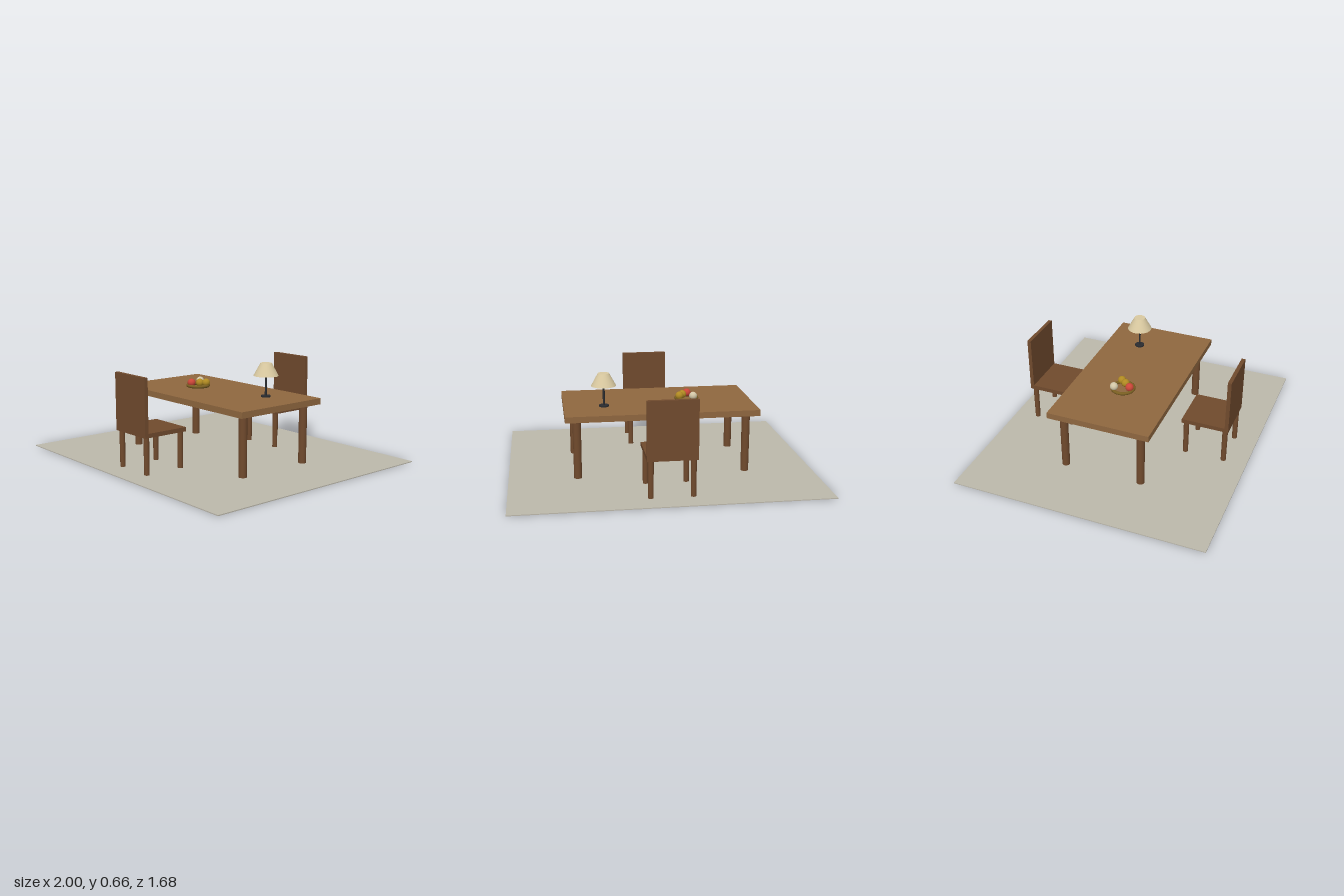
import * as THREE from 'three';

const mat = (name, color) => {
  const m = new THREE.MeshStandardMaterial({ color });
  m.name = name;
  return m;
};

export function createModel() {
  const rugGrey = mat('rug grey', 0xbcb8ab);
  const tableWood = mat('table wood', 0x8f673f);
  const darkWood = mat('dark wood', 0x704a2d);
  const shadeCream = mat('shade cream', 0xd9c9a0);
  const lampBlack = mat('lamp black', 0x2a2c30);
  const bowlBronze = mat('bowl bronze', 0x7a5f22);
  const fruitRed = mat('fruit red', 0xcc4638);
  const fruitGold = mat('fruit gold', 0xb08a22);
  const fruitIvory = mat('fruit ivory', 0xd2c6a6);

  const model = new THREE.Group();
  model.name = 'diningSet';

  const add = (parent, name, geometry, material, x, y, z) => {
    const mesh = new THREE.Mesh(geometry, material);
    mesh.name = name;
    mesh.position.set(x, y, z);
    parent.add(mesh);
    return mesh;
  };
  const group = (name, x = 0, y = 0, z = 0) => {
    const g = new THREE.Group();
    g.name = name;
    g.position.set(x, y, z);
    model.add(g);
    return g;
  };
  // Four round legs from the rug up to a given height
  const addLegs = (parent, name, dx, dz, radius, top) => {
    const geometry = new THREE.CylinderGeometry(radius, radius * 0.95, top - 0.005, 20);
    for (const sx of [-1, 1])
      for (const sz of [-1, 1])
        add(parent, name, geometry, darkWood, sx * dx, (top + 0.005) / 2, sz * dz);
  };

  // Rug
  add(model, 'rug', new THREE.BoxGeometry(2, 0.006, 1.684), rugGrey, 0, 0.003, 0);

  // Table
  const table = group('table');
  add(table, 'tableTop', new THREE.BoxGeometry(1.26, 0.04, 0.684), tableWood, 0, 0.418, 0);
  addLegs(table, 'tableLeg', 0.553, 0.262, 0.027, 0.398);

  // Two chairs facing each other, backrests outward
  for (const side of [1, -1]) {
    const chair = group(side > 0 ? 'frontChair' : 'backChair', 0, 0, side * 0.553);
    if (side < 0) chair.rotation.y = Math.PI;
    add(chair, 'seat', new THREE.BoxGeometry(0.316, 0.028, 0.316), darkWood, 0, 0.26, 0);
    add(chair, 'backrest', new THREE.BoxGeometry(0.316, 0.349, 0.025), darkWood, 0, 0.4485, 0.1455);
    addLegs(chair, 'chairLeg', 0.132, 0.132, 0.018, 0.246);
  }

  // Rimmed fruit tray
  const bowl = group('fruitBowl', -0.202, 0.438, 0);
  const rim = add(bowl, 'bowlRim', new THREE.TorusGeometry(0.071, 0.011, 10, 32), bowlBronze, 0, 0.011, 0);
  rim.rotation.x = Math.PI / 2;
  const fruit = new THREE.SphereGeometry(0.027, 20, 14);
  [
    [fruitRed, -0.011, 0.05],
    [fruitGold, 0.027, 0.007],
    [fruitGold, 0.052, -0.028],
    [fruitIvory, -0.038, -0.048],
  ].forEach(([material, x, z]) => add(bowl, 'fruit', fruit, material, x, 0.034, z));

  // Table lamp
  const lamp = group('lamp', 0.365, 0.438, -0.106);
  add(lamp, 'lampBase', new THREE.CylinderGeometry(0.032, 0.032, 0.01, 24), lampBlack, 0, 0.005, 0);
  add(lamp, 'lampPole', new THREE.CylinderGeometry(0.007, 0.007, 0.14, 12), lampBlack, 0, 0.075, 0);
  add(lamp, 'lampShade', new THREE.CylinderGeometry(0.037, 0.082, 0.083, 28), shadeCream, 0, 0.181, 0);

  return model;
}
